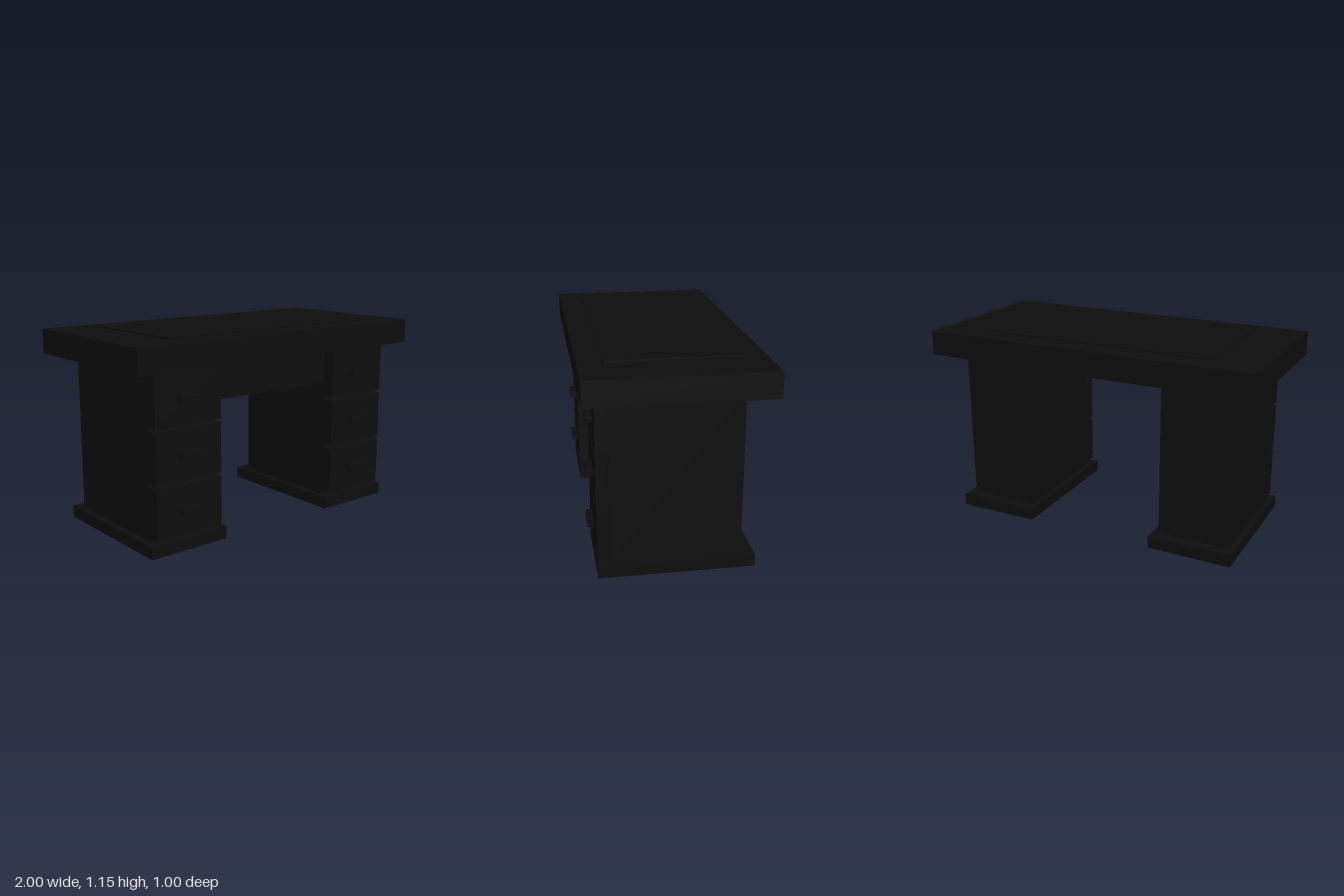
import * as THREE from 'three';

export function createModel() {
  const desk = new THREE.Group();
  desk.name = 'desk';

  const darkWood = new THREE.MeshStandardMaterial({ color: 0x0d0d0d });
  darkWood.name = 'dark wood';

  // Box given by its extents on each axis
  function block(name, [x0, x1], [y0, y1], [z0, z1], parent = desk) {
    const mesh = new THREE.Mesh(new THREE.BoxGeometry(x1 - x0, y1 - y0, z1 - z0), darkWood);
    mesh.name = name;
    mesh.position.set((x0 + x1) / 2, (y0 + y1) / 2, (z0 + z1) / 2);
    parent.add(mesh);
    return mesh;
  }

  // Top slab with its raised writing pad
  block('deskTop', [-1, 1], [1, 1.143], [-0.5, 0.5]);
  block('writingPad', [-0.714, 0.714], [1.143, 1.153], [-0.357, 0.357]);

  // Apron closing the front of the knee space
  block('frontApron', [-0.429, 0.429], [0.786, 1], [0.321, 0.357]);

  // Two pedestals, each with a plinth and three drawers
  for (const [side, cx] of [['left', 0.643], ['right', -0.643]]) {
    const pedestal = new THREE.Group();
    pedestal.name = side + 'Pedestal';
    pedestal.position.x = cx;
    desk.add(pedestal);

    block('plinth', [-0.25, 0.25], [0, 0.0714], [-0.429, 0.429], pedestal);
    block('cabinet', [-0.214, 0.214], [0.0714, 1], [-0.357, 0.357], pedestal);

    for (let i = 0; i < 3; i++) {
      const y = 0.091 + i * 0.3035;
      block('drawerFront', [-0.214, 0.214], [y, y + 0.286], [0.357, 0.429], pedestal);
      block('drawerHandle', [-0.0714, 0.0714], [y + 0.126, y + 0.161], [0.429, 0.465], pedestal);
    }
  }

  return desk;
}
